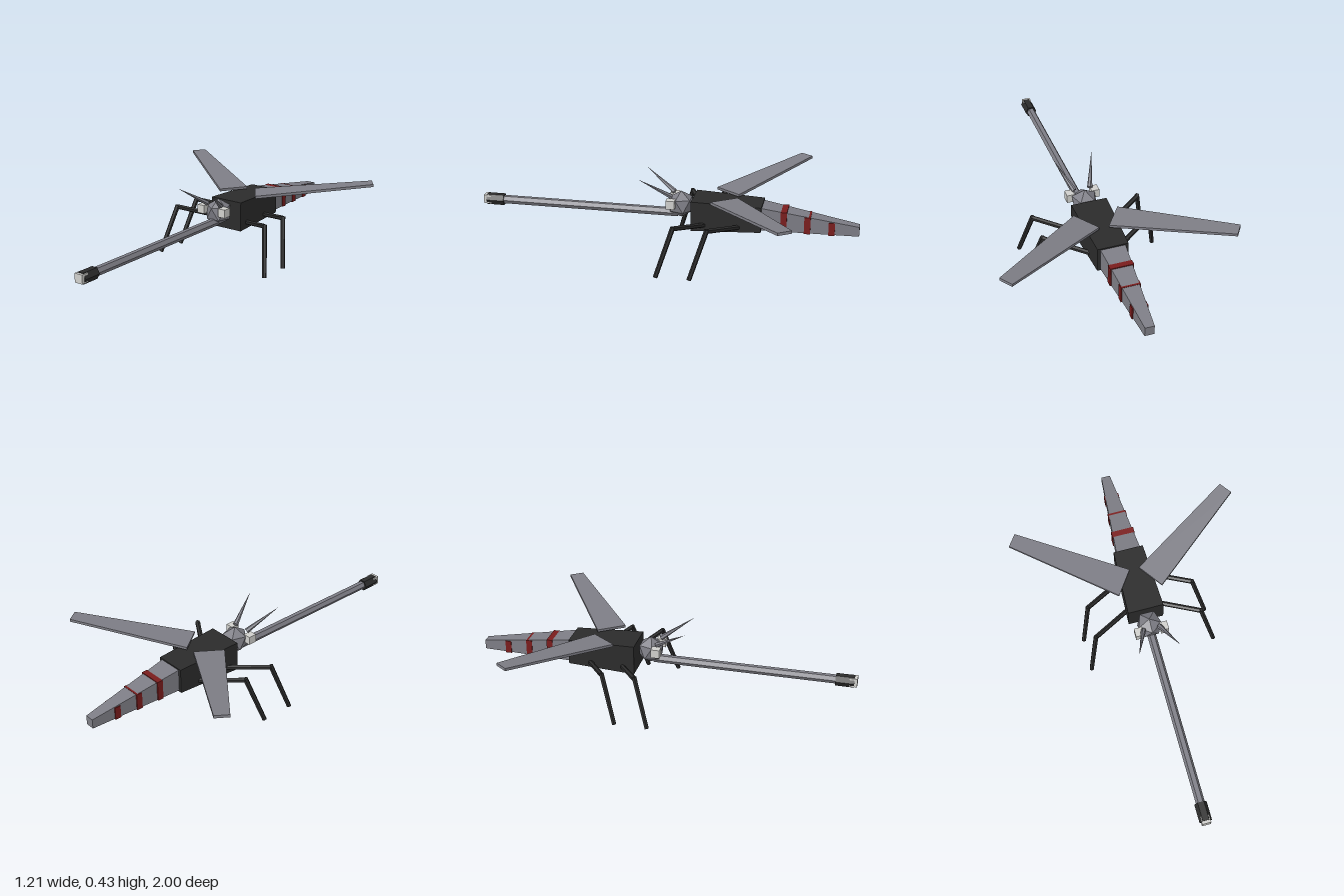
import * as THREE from 'three';

const mat = (name, color) => {
  const m = new THREE.MeshStandardMaterial({ color, flatShading: true });
  m.name = name;
  return m;
};

// Box tapered along z: each end is [z, halfWidth, bottom, top]; "front" has the larger z.
function taper(front, back) {
  const g = new THREE.BoxGeometry(2, 2, 2);
  const p = g.attributes.position;
  for (let i = 0; i < p.count; i++) {
    const [z, w, bottom, top] = p.getZ(i) > 0 ? front : back;
    p.setXYZ(i, Math.sign(p.getX(i)) * w, p.getY(i) > 0 ? top : bottom, z);
  }
  g.computeVertexNormals();
  return g;
}

// Cylinder or cone running from a to b.
function strut(a, b, rA, rB, sides) {
  const start = new THREE.Vector3(...a), end = new THREE.Vector3(...b);
  const dir = end.clone().sub(start);
  const g = new THREE.CylinderGeometry(rB, rA, dir.length(), sides);
  g.applyQuaternion(new THREE.Quaternion().setFromUnitVectors(
    new THREE.Vector3(0, 1, 0), dir.normalize()));
  const c = start.add(end).multiplyScalar(0.5);
  return g.translate(c.x, c.y, c.z);
}

// Six-sided rod along z, with corners pointing sideways.
function hexRod(z0, z1, r, y) {
  return new THREE.CylinderGeometry(r, r, z1 - z0, 6, 1, false, Math.PI / 6)
    .rotateX(Math.PI / 2).translate(0, y, (z0 + z1) / 2);
}

export function createModel() {
  const model = new THREE.Group();
  model.name = 'mosquito';
  const dark = mat('charcoal', 0x2b2b2b);
  const grey = mat('grey', 0x7d7d85);
  const red = mat('dark red', 0x7a1c1c);
  const pale = mat('pale grey', 0xd0d0cd);

  const add = (name, geometry, material, parent = model) => {
    const mesh = new THREE.Mesh(geometry, material);
    mesh.name = name;
    parent.add(mesh);
    return mesh;
  };

  // Body
  add('thorax', taper([-0.145, 0.095, 0.17, 0.328], [-0.505, 0.08, 0.182, 0.316]), dark);
  add('abdomen', taper([-0.5, 0.065, 0.19, 0.31], [-1, 0.024, 0.18, 0.23]), grey);

  // Abdomen bands: centre z, half width, bottom, top
  [
    [-0.618, 0.061, 0.186, 0.2935],
    [-0.738, 0.05, 0.182, 0.271],
    [-0.861, 0.04, 0.179, 0.247],
  ].forEach(([z, w, b, t], i) =>
    add('abdomenBand' + (i + 1), taper([z + 0.016, w, b, t], [z - 0.016, w, b, t]), red));

  // Head, a twenty-sided ball standing on one corner
  const head = new THREE.IcosahedronGeometry(0.072, 0);
  head.rotateX(-Math.atan((1 + Math.sqrt(5)) / 2));
  add('head', head.translate(0, 0.28, -0.077), grey);

  // Proboscis with a dark sleeve and pale tip
  add('proboscis', hexRod(-0.06, 0.92, 0.023, 0.232), grey);
  add('proboscisSleeve', hexRod(0.89, 0.985, 0.032, 0.231), dark);
  add('proboscisTip', new THREE.BoxGeometry(0.046, 0.046, 0.04).translate(0, 0.233, 0.98), pale);

  // Paired parts
  for (const [side, s] of [['left', 1], ['right', -1]]) {
    add(side + 'Eye', new THREE.BoxGeometry(0.042, 0.045, 0.046)
      .translate(s * 0.067, 0.298, -0.034), pale);
    add(side + 'Antenna',
      strut([s * 0.042, 0.33, -0.035], [s * 0.107, 0.435, 0.128], 0.014, 0, 6), grey);

    // Wing: widest at the root, narrower and raised at the tip
    const root = new THREE.Vector3(s * 0.071, 0.336, -0.3125);
    const tip = new THREE.Vector3(s * 0.584, 0.395, -0.675);
    const wing = add(side + 'Wing', taper(
      [root.distanceTo(tip), 0.038, -0.007, 0.007], [0, 0.078, -0.007, 0.007]), grey);
    wing.position.copy(root);
    wing.lookAt(tip);

    // Legs
    for (const [place, z] of [['Front', 0], ['Rear', -0.172]]) {
      const leg = new THREE.Group();
      leg.name = side + place + 'Leg';
      model.add(leg);
      const hip = [s * 0.07, 0.2, z - 0.22];
      const knee = [s * 0.284, 0.251, z - 0.09];
      const foot = [s * 0.341, 0.004, z - 0.011];
      add('upperLeg', strut(hip, knee, 0.013, 0.013, 6), dark, leg);
      add('lowerLeg', strut([knee[0], knee[1] + 0.008, knee[2]], foot, 0.013, 0.012, 6), dark, leg);
    }
  }
  return model;
}
